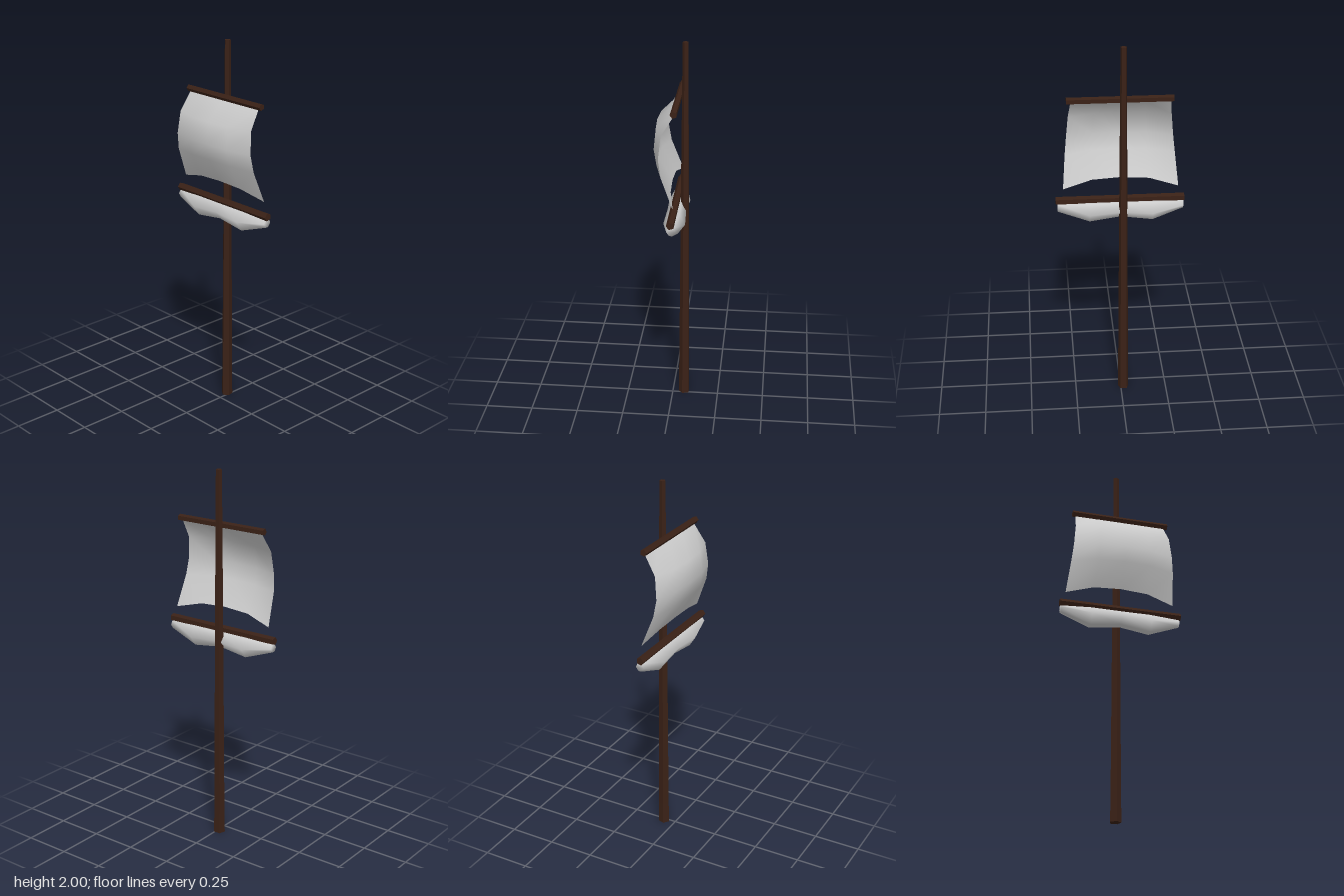
import * as THREE from 'three';

const wood = new THREE.MeshStandardMaterial({ color: 0x3a2116, flatShading: true });
const cloth = new THREE.MeshStandardMaterial({ color: 0xcccccc, side: THREE.DoubleSide });

function add(group, name, geometry, material) {
  const mesh = new THREE.Mesh(geometry, material);
  mesh.name = name;
  group.add(mesh);
  return mesh;
}

// Skins equal-length rows of [x, y, z] points; closed joins each row's ends.
function skin(rows, closed) {
  const n = rows[0].length, index = [];
  for (let r = 0; r < rows.length - 1; r++) {
    for (let c = 0; c < (closed ? n : n - 1); c++) {
      const a = r * n + c, b = a + n, a2 = r * n + (c + 1) % n, b2 = a2 + n;
      index.push(a, b, a2, b, b2, a2);
    }
  }
  if (closed) {
    const last = (rows.length - 1) * n;
    for (let c = 1; c < n - 1; c++) index.push(0, c, c + 1, last, last + c + 1, last + c);
  }
  const geometry = new THREE.BufferGeometry();
  geometry.setAttribute('position', new THREE.Float32BufferAttribute(rows.flat(2), 3));
  geometry.setIndex(index);
  geometry.computeVertexNormals();
  return geometry;
}

// Five-sided horizontal spar
function yard(group, name, length, radius, y, z) {
  const mesh = add(group, name, new THREE.CylinderGeometry(radius, radius, length, 5), wood);
  mesh.rotation.z = Math.PI / 2;
  mesh.position.set(0, y, z);
}

export function createModel() {
  const group = new THREE.Group();

  // Tapering five-sided mast
  const profile = [[0, 0], [0.031, 0], [0.029, 0.12], [0.026, 0.6], [0.023, 1.1], [0.016, 2], [0, 2]];
  const mast = add(group, 'mast',
    new THREE.LatheGeometry(profile.map(([r, y]) => new THREE.Vector2(r, y)), 5), wood);
  mast.position.set(-0.014, 0, -0.063);

  yard(group, 'upperYard', 0.54, 0.018, 1.712, -0.028);
  yard(group, 'lowerYard', 0.668, 0.021, 1.155, -0.018);

  // Billowing sail, per row: half width, middle y, edge y, middle z, edge z
  const sailRows = [
    [0.252, 1.7, 1.7, -0.028, -0.028],
    [0.264, 1.6, 1.6, 0.08, 0.035],
    [0.275, 1.485, 1.48, 0.091, 0.048],
    [0.284, 1.4, 1.39, 0.076, 0.034],
    [0.298, 1.27, 1.225, 0.002, -0.028],
  ];
  const sail = sailRows.map(([w, ym, ye, zm, ze]) => [-1, -0.5, 0, 0.5, 1].map((t) => {
    const k = Math.abs(t) ** 2.6;
    return [t * w - 0.003, ym + (ye - ym) * k, zm + (ze - zm) * k];
  }));
  add(group, 'upperSail', skin(sail, false), cloth);

  // Furled sail bundle, per station: x, top y, bottom y, back z, front z
  const stations = [
    [-0.329, 1.14, 1.098, -0.045, 0.002],
    [-0.168, 1.145, 1.04, -0.078, 0.034],
    [-0.003, 1.145, 1.062, -0.07, 0.028],
    [0.16, 1.145, 1.04, -0.078, 0.034],
    [0.325, 1.14, 1.098, -0.045, 0.002],
  ];
  // Hexagonal section as fractions of depth and height
  const section = [[1, 0.5], [0.63, 1], [0.25, 1], [0, 0.48], [0.33, 0], [0.7, 0]];
  const bundle = stations.map(([x, top, bottom, back, front]) => section.map(([u, v]) =>
    [x, bottom + (top - bottom) * v, back + (front - back) * u]));
  add(group, 'furledSail', skin(bundle, true), cloth);

  return group;
}
